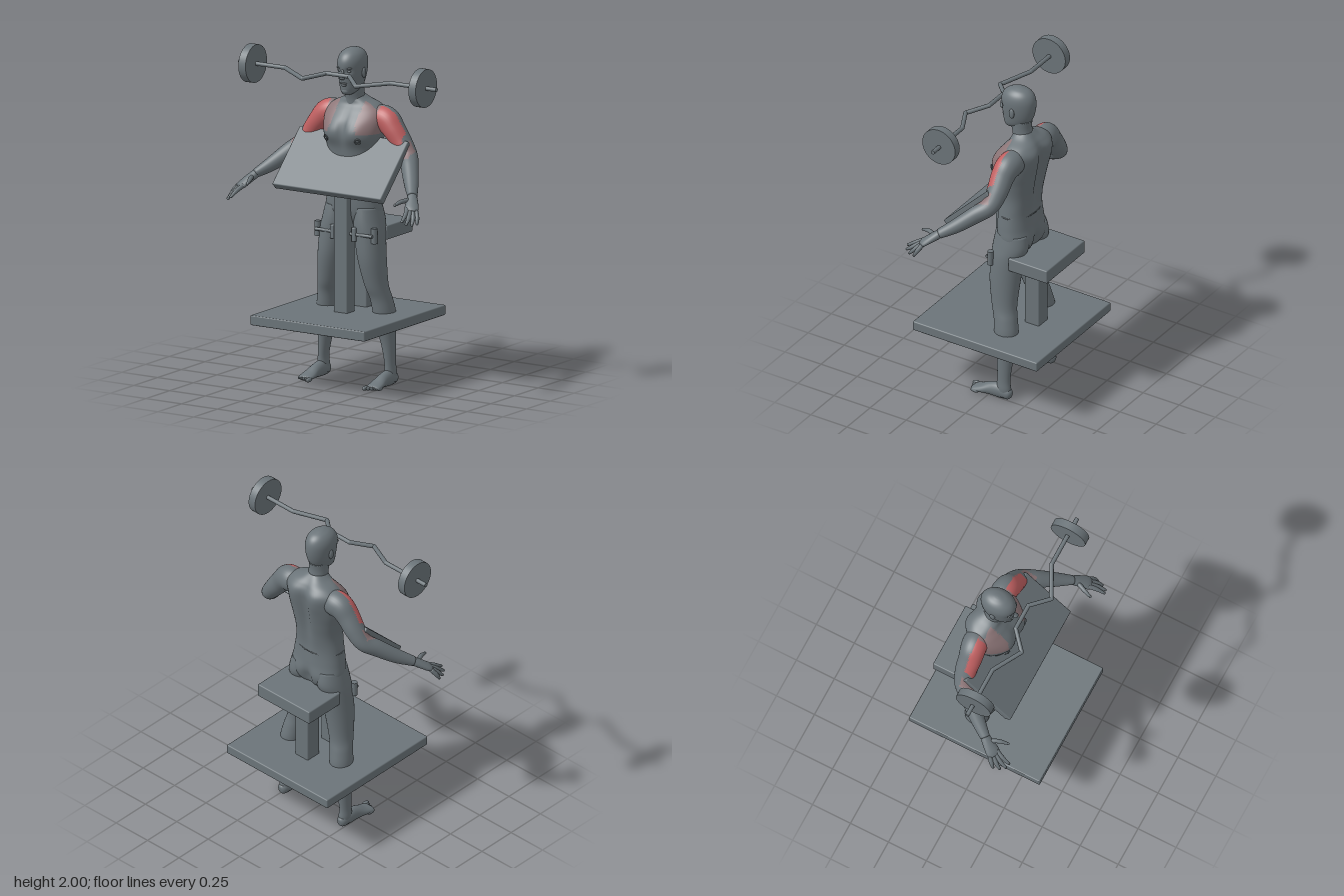
import * as THREE from 'three';
import { RoundedBoxGeometry } from 'three/addons/geometries/RoundedBoxGeometry.js';

const material = (name, color) => Object.assign(new THREE.MeshStandardMaterial({ color }), { name });
const grey = material('slate grey', 0x6b7479);
const red = material('muscle red', 0xc06061);
const pale = material('faded muscle red', 0x8d7678);

// Smooth closed skin through stations [x, y, z, ru, rv].
// ref = null keeps the rings level, otherwise they stand across the path.
function loft(stations, { ref = null, n = 20, sub = 5, power = 1, rule = null } = {}) {
  const K = stations.length;
  const at = i => stations[Math.min(K - 1, Math.max(0, i))];
  const rows = [];
  for (let i = 0; i < K - 1; i++) {
    for (let j = 0; j < sub + (i === K - 2 ? 1 : 0); j++) {
      const t = j / sub;
      rows.push(at(i).map((b, c) => {
        const a = at(i - 1)[c], d = at(i + 1)[c], e = at(i + 2)[c];
        return b + 0.5 * t * (d - a + t * (2 * a - 5 * b + 4 * d - e + t * (3 * (b - d) + e - a)));
      }));
    }
  }
  const centre = rows.map(r => new THREE.Vector3(r[0], r[1], r[2]));
  const last = rows.length - 1, pos = [], index = [];
  const push = p => { if (rule) rule(p); pos.push(p.x, p.y, p.z); };
  rows.forEach((r, i) => {
    const u = new THREE.Vector3(1, 0, 0), v = new THREE.Vector3(0, 0, 1);
    if (ref) {
      const T = centre[Math.min(last, i + 1)].clone().sub(centre[Math.max(0, i - 1)]).normalize();
      u.crossVectors(ref, T).normalize();
      v.crossVectors(T, u);
    }
    for (let k = 0; k < n; k++) {
      const a = k / n * Math.PI * 2, c = Math.cos(a), s = Math.sin(a);
      push(centre[i].clone()
        .addScaledVector(u, r[3] * Math.sign(c) * Math.abs(c) ** power)
        .addScaledVector(v, r[4] * Math.sign(s) * Math.abs(s) ** power));
    }
  });
  push(centre[0].clone());
  push(centre[last].clone());
  const c0 = rows.length * n;
  for (let k = 0; k < n; k++) {
    const q = (k + 1) % n;
    for (let i = 0; i < last; i++) {
      const a = i * n + k, b = i * n + q;
      index.push(a, b, a + n, b, b + n, a + n);
    }
    index.push(c0, q, k, c0 + 1, last * n + k, last * n + q);
  }
  // turn the skin outward
  const P = i => new THREE.Vector3().fromArray(pos, i * 3);
  let volume = 0;
  for (let i = 0; i < index.length; i += 3) volume += P(index[i]).dot(P(index[i + 1]).cross(P(index[i + 2])));
  if (volume < 0) index.reverse();
  const g = new THREE.BufferGeometry();
  g.setAttribute('position', new THREE.Float32BufferAttribute(pos, 3));
  g.setIndex(index);
  g.computeVertexNormals();
  return g;
}

// Sort faces into colour groups by their centre.
function paint(g, pick) {
  const p = g.attributes.position, src = g.index.array, bins = [[], [], []];
  for (let i = 0; i < src.length; i += 3) {
    const f = [src[i], src[i + 1], src[i + 2]];
    const mean = get => (get(f[0]) + get(f[1]) + get(f[2])) / 3;
    bins[pick(Math.abs(mean(j => p.getX(j))), mean(j => p.getY(j)), mean(j => p.getZ(j)))].push(...f);
  }
  g.setIndex(bins.flat());
  let start = 0;
  bins.forEach((b, i) => { g.addGroup(start, b.length, i); start += b.length; });
  return g;
}

const gauss = (d, w) => Math.exp(-((d / w) ** 2));
const Y = new THREE.Vector3(0, 1, 0), Z = new THREE.Vector3(0, 0, 1);

export function createModel() {
  const model = new THREE.Group();
  const add = (name, geometry, x = 0, y = 0, z = 0, mat = grey) => {
    const m = new THREE.Mesh(geometry, mat);
    m.name = name;
    m.position.set(x, y, z);
    model.add(m);
    return m;
  };
  const box = (name, w, h, d, x, y, z) => add(name, new RoundedBoxGeometry(w, h, d, 2, 0.007), x, y, z);
  const blob = (name, x, y, z, rx, ry, rz) =>
    add(name, new THREE.SphereGeometry(1, 14, 10), x, y, z).scale.set(rx, ry, rz);
  const painted = [grey, red, pale];

  // Bench
  box('basePlate', 0.8, 0.06, 0.86, 0, 0.405, 0);
  box('frontPost', 0.095, 0.87, 0.085, 0, 0.855, 0.04);
  box('rearPost', 0.1, 0.45, 0.1, 0, 0.65, -0.17);
  box('seat', 0.41, 0.085, 0.27, 0, 0.902, -0.24);
  box('armPad', 0.76, 0.417, 0.05, 0, 1.315, 0.065).rotation.x = -Math.PI / 4;
  add('thighBar', new THREE.CylinderGeometry(0.01, 0.01, 0.4, 10), 0, 0.905, 0.045).rotation.z = Math.PI / 2;
  for (const s of [1, -1]) {
    add('outerThighRoller', new THREE.CylinderGeometry(0.018, 0.018, 0.09, 14), s * 0.198, 0.905, 0.02);
    box('innerThighBlock', 0.03, 0.085, 0.03, s * 0.075, 0.905, 0.045);
  }

  // Bent barbell
  const half = [[0.08, 1.86, 0.105], [0.187, 1.833, 0.2], [0.37, 1.857, 0.105], [0.69, 1.857, 0.105]];
  const path = [...half.map(([x, y, z]) => [-x, y, z]).reverse(), ...half].map(p => new THREE.Vector3(...p));
  path.slice(1).forEach((b, i) => {
    const a = path[i], mid = a.clone().add(b).multiplyScalar(0.5);
    const rod = add('barSection', new THREE.CylinderGeometry(0.013, 0.013, a.distanceTo(b), 12), mid.x, mid.y, mid.z);
    rod.quaternion.setFromUnitVectors(Y, b.clone().sub(a).normalize());
    if (i > 0) add('barBend', new THREE.SphereGeometry(0.013, 12, 8), a.x, a.y, a.z);
  });
  for (const s of [1, -1])
    add('weightPlate', new THREE.CylinderGeometry(0.114, 0.114, 0.05, 40), s * 0.595, 1.857, 0.108).rotation.z = Math.PI / 2;

  // Torso with chest, spine and buttock shaping
  const torso = [
    [0.92, -0.07, 0.06, 0.06], [0.96, -0.075, 0.14, 0.095], [1.02, -0.072, 0.178, 0.114], [1.1, -0.062, 0.172, 0.11],
    [1.2, -0.06, 0.158, 0.105], [1.3, -0.065, 0.15, 0.112], [1.4, -0.07, 0.165, 0.125], [1.48, -0.07, 0.185, 0.138],
    [1.56, -0.08, 0.195, 0.135], [1.62, -0.1, 0.19, 0.115], [1.66, -0.105, 0.15, 0.088], [1.69, -0.095, 0.085, 0.07],
    [1.715, -0.085, 0.05, 0.055],
  ].map(([y, z, a, b]) => [0, y, z, a, b]);
  const shapeTorso = p => {
    const ax = Math.abs(p.x);
    if (p.z > -0.06) {
      p.z += 0.022 * gauss(ax - 0.085, 0.07) * gauss(p.y - 1.5, 0.06);
      p.z -= 0.012 * gauss(p.x, 0.02) * gauss(p.y - 1.53, 0.09);
    } else if (p.z < -0.1) {
      p.z += 0.03 * gauss(p.x, 0.035) * (gauss(p.y - 1.45, 0.2) + gauss(p.y - 0.99, 0.06));
      p.z -= 0.014 * gauss(ax - 0.09, 0.05) * gauss(p.y - 1.58, 0.08);
    }
  };
  add('torso', paint(loft(torso, { n: 64, sub: 7, power: 0.9, rule: shapeTorso }), (x, y, z) =>
    z > -0.06 && y > 1.5 && x > 0.085 + 0.2 * Math.max(0, 1.56 - y) ? 2 : 0), 0, 0, 0, painted);

  // Neck and head
  add('neck', loft([[0, 1.63, -0.095, 0.08, 0.075], [0, 1.69, -0.08, 0.06, 0.062],
    [0, 1.74, -0.07, 0.056, 0.062], [0, 1.79, -0.07, 0.056, 0.065]], { n: 28 }));
  const head = [
    [1.725, 0.005, 0.015, 0.015], [1.733, -0.003, 0.034, 0.04], [1.76, -0.03, 0.055, 0.075], [1.8, -0.045, 0.067, 0.094],
    [1.86, -0.05, 0.077, 0.107], [1.92, -0.05, 0.08, 0.109], [1.96, -0.052, 0.069, 0.093], [1.985, -0.055, 0.047, 0.063],
    [1.997, -0.055, 0.02, 0.027], [2, -0.055, 0.003, 0.004],
  ].map(([y, z, a, b]) => [0, y, z, a, b]);
  const shapeFace = p => { // eye hollows
    if (p.z > 0) p.z -= 0.011 * gauss(Math.abs(p.x) - 0.032, 0.018) * gauss(p.y - 1.872, 0.014);
  };
  add('head', loft(head, { n: 48, sub: 6, rule: shapeFace }));
  add('nose', loft([[0, 1.885, 0.05, 0.007, 0.008], [0, 1.85, 0.062, 0.01, 0.013],
    [0, 1.832, 0.064, 0.017, 0.014], [0, 1.822, 0.058, 0.009, 0.007]], { n: 14 }));
  blob('upperLip', 0, 1.799, 0.047, 0.024, 0.006, 0.009);
  blob('lowerLip', 0, 1.787, 0.044, 0.02, 0.007, 0.009);
  blob('chin', 0, 1.75, 0.03, 0.025, 0.018, 0.016);

  for (const s of [1, -1]) {
    const limb = (name, stations, options) =>
      add(name, loft(stations.map(([x, ...rest]) => [x * s, ...rest]), options));

    blob('eye', s * 0.031, 1.871, 0.035, 0.013, 0.008, 0.01);
    blob('brow', s * 0.032, 1.89, 0.041, 0.022, 0.006, 0.01);
    blob('ear', s * 0.079, 1.855, -0.05, 0.01, 0.032, 0.018).rotation;
    const ring = add('nipple', new THREE.TorusGeometry(0.016, 0.004, 8, 20), s * 0.11, 1.465, 0.066);
    ring.rotation.set(0.3, s * 0.4, 0);
    blob('nippleTip', s * 0.11, 1.465, 0.068, 0.007, 0.007, 0.007);

    // Arm
    const arm = limb('arm', [
      [0.12, 1.575, -0.115, 0.07, 0.065], [0.17, 1.582, -0.11, 0.08, 0.076], [0.215, 1.57, -0.105, 0.077, 0.075],
      [0.26, 1.525, -0.1, 0.066, 0.07], [0.315, 1.455, -0.1, 0.058, 0.064], [0.37, 1.385, -0.085, 0.05, 0.055],
      [0.42, 1.33, -0.02, 0.052, 0.05], [0.49, 1.26, 0.07, 0.042, 0.042], [0.55, 1.21, 0.15, 0.026, 0.03],
    ], { ref: Z, n: 32, sub: 8 });
    paint(arm.geometry, (x, y, z) => {
      if (z < -0.095) return 0;
      if (x < 0.175) return 2;
      return x < 0.345 && y > 1.43 ? 1 : x > 0.37 && x < 0.41 && y > 1.385 && z < -0.01 ? 2 : 0;
    });
    arm.material = painted;

    // Hand
    limb('palm', [[0.54, 1.218, 0.137, 0.026, 0.026], [0.565, 1.19, 0.175, 0.034, 0.024],
      [0.592, 1.155, 0.222, 0.042, 0.02], [0.603, 1.14, 0.243, 0.034, 0.013]], { ref: Y, n: 18 });
    const fingers = [
      [[0.573, 1.155, 0.235], [0.59, 1.128, 0.285], [0.598, 1.1, 0.332]],
      [[0.593, 1.145, 0.24], [0.613, 1.113, 0.285], [0.623, 1.085, 0.325]],
      [[0.61, 1.14, 0.235], [0.633, 1.107, 0.268], [0.643, 1.078, 0.295]],
      [[0.622, 1.145, 0.22], [0.645, 1.11, 0.242], [0.654, 1.08, 0.257]],
      [[0.555, 1.195, 0.175], [0.53, 1.193, 0.235], [0.515, 1.178, 0.283]],
    ];
    fingers.forEach((f, i) => {
      const radii = [0.014, 0.013, 0.008];
      limb(i < 4 ? 'finger' : 'thumb', f.map((p, j) => [...p, radii[j], radii[j]]), { ref: Y, n: 10, sub: 4 });
      blob('fingertip', s * f[2][0], f[2][1], f[2][2], 0.0085, 0.0085, 0.0085);
    });

    // Leg
    limb('leg', [
      [0.1, 1.06, -0.065, 0.075, 0.1], [0.108, 0.98, -0.065, 0.086, 0.112], [0.12, 0.9, -0.052, 0.089, 0.103],
      [0.14, 0.75, -0.045, 0.081, 0.095], [0.163, 0.6, -0.055, 0.068, 0.078], [0.182, 0.52, -0.075, 0.065, 0.072],
      [0.195, 0.44, -0.088, 0.066, 0.074], [0.202, 0.36, -0.092, 0.06, 0.066], [0.22, 0.25, -0.095, 0.042, 0.05],
      [0.233, 0.13, -0.095, 0.03, 0.041], [0.235, 0.07, -0.098, 0.033, 0.045], [0.235, 0.02, -0.1, 0.03, 0.044],
    ], { n: 32 });

    // Foot
    limb('foot', [
      [0.235, 0.035, -0.148, 0.015, 0.02], [0.235, 0.038, -0.13, 0.03, 0.036], [0.235, 0.046, -0.07, 0.036, 0.048],
      [0.235, 0.04, -0.01, 0.038, 0.04], [0.237, 0.026, 0.05, 0.046, 0.025], [0.238, 0.018, 0.095, 0.046, 0.016],
      [0.238, 0.015, 0.108, 0.035, 0.01],
    ], { ref: Y, n: 22, rule: p => { p.y = Math.max(0, p.y); } });
    for (let i = 0; i < 5; i++)
      blob('toe', s * (0.197 + 0.02 * i), 0.014, 0.115 - 0.009 * i, i ? 0.0095 : 0.014, i ? 0.012 : 0.014, 0.028);
  }

  // Waistband ridge
  add('waistband', new THREE.TorusGeometry(1, 0.018, 6, 48), 0, 1.18, -0.06).scale.set(0.161, 0.107, 0.2);
  model.getObjectByName('waistband').rotation.x = Math.PI / 2;
  return model;
}
